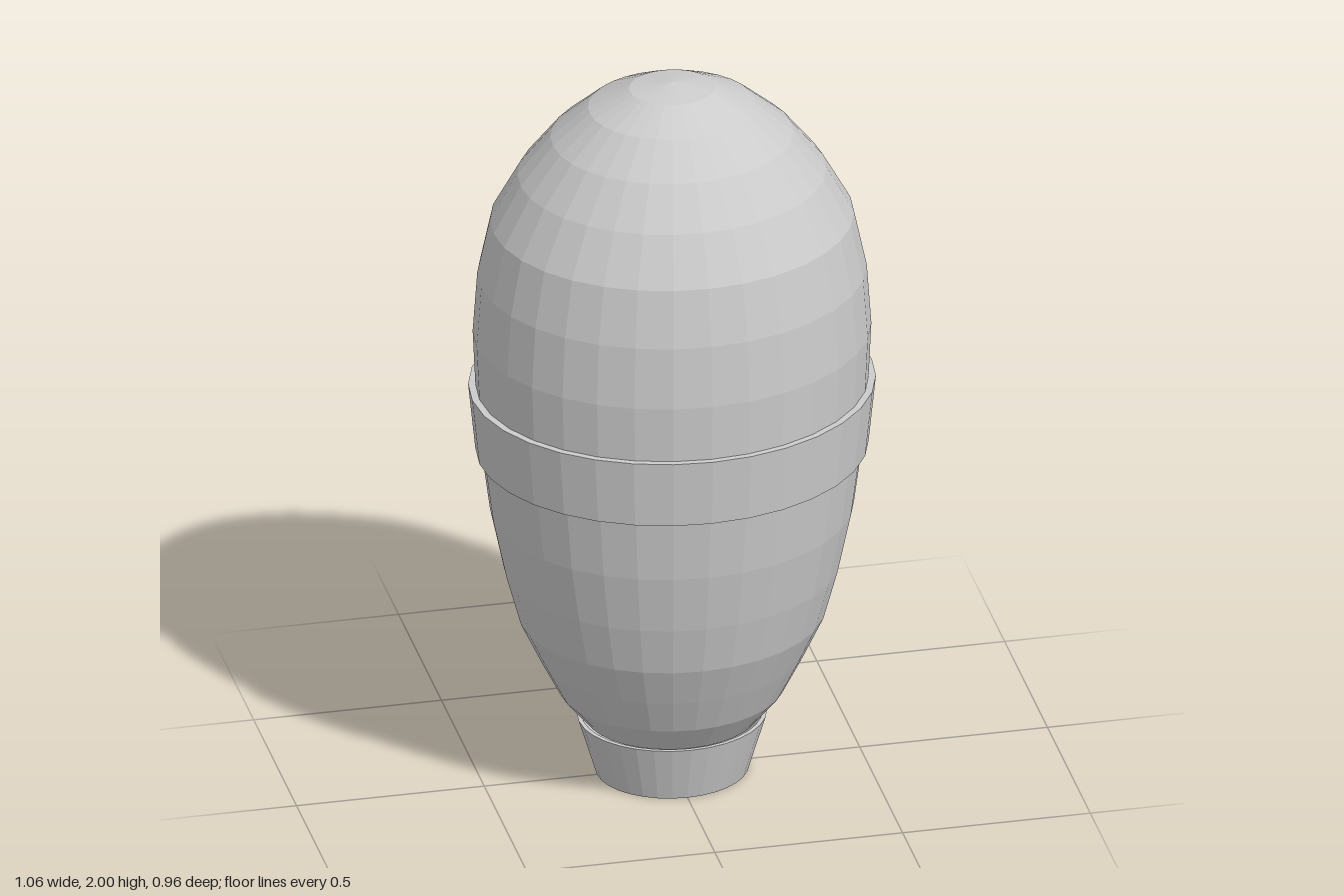
import * as THREE from 'three';

const SIDES = 32;
const DEPTH = 0.906; // the plan is a slightly flattened ellipse

const material = new THREE.MeshStandardMaterial({
  color: 0xcccccc,
  flatShading: true,
  side: THREE.DoubleSide,
});

// Turned part from [radius, height] pairs listed bottom to top on the outside
function turned(name, profile) {
  const points = profile.map(([r, y]) => new THREE.Vector2(r, y));
  const geometry = new THREE.LatheGeometry(points, SIDES);
  geometry.scale(1, 1, DEPTH);
  const mesh = new THREE.Mesh(geometry, material);
  mesh.name = name;
  return mesh;
}

export function createModel() {
  const group = new THREE.Group();
  group.name = 'bulb';

  // Egg-shaped shell, open where it meets the neck
  group.add(turned('body', [
    [0.225, 0.155], [0.295, 0.24], [0.348, 0.345], [0.402, 0.46],
    [0.44, 0.6], [0.475, 0.766], [0.497, 0.935], [0.512, 1.11],
    [0.52, 1.285], [0.508, 1.455], [0.475, 1.61], [0.403, 1.74],
    [0.317, 1.848], [0.219, 1.932], [0.112, 1.983], [0, 2],
  ]));

  // Raised flaring band around the middle
  group.add(turned('band', [
    [0.49, 0.942], [0.513, 0.942], [0.532, 1.13], [0.506, 1.13],
  ]));

  // Thin-walled hollow neck, with its rim turned inward
  group.add(turned('neck', [
    [0.236, 0.16], [0.189, 0], [0.2, 0], [0.248, 0.16], [0.236, 0.16],
  ]));

  return group;
}
